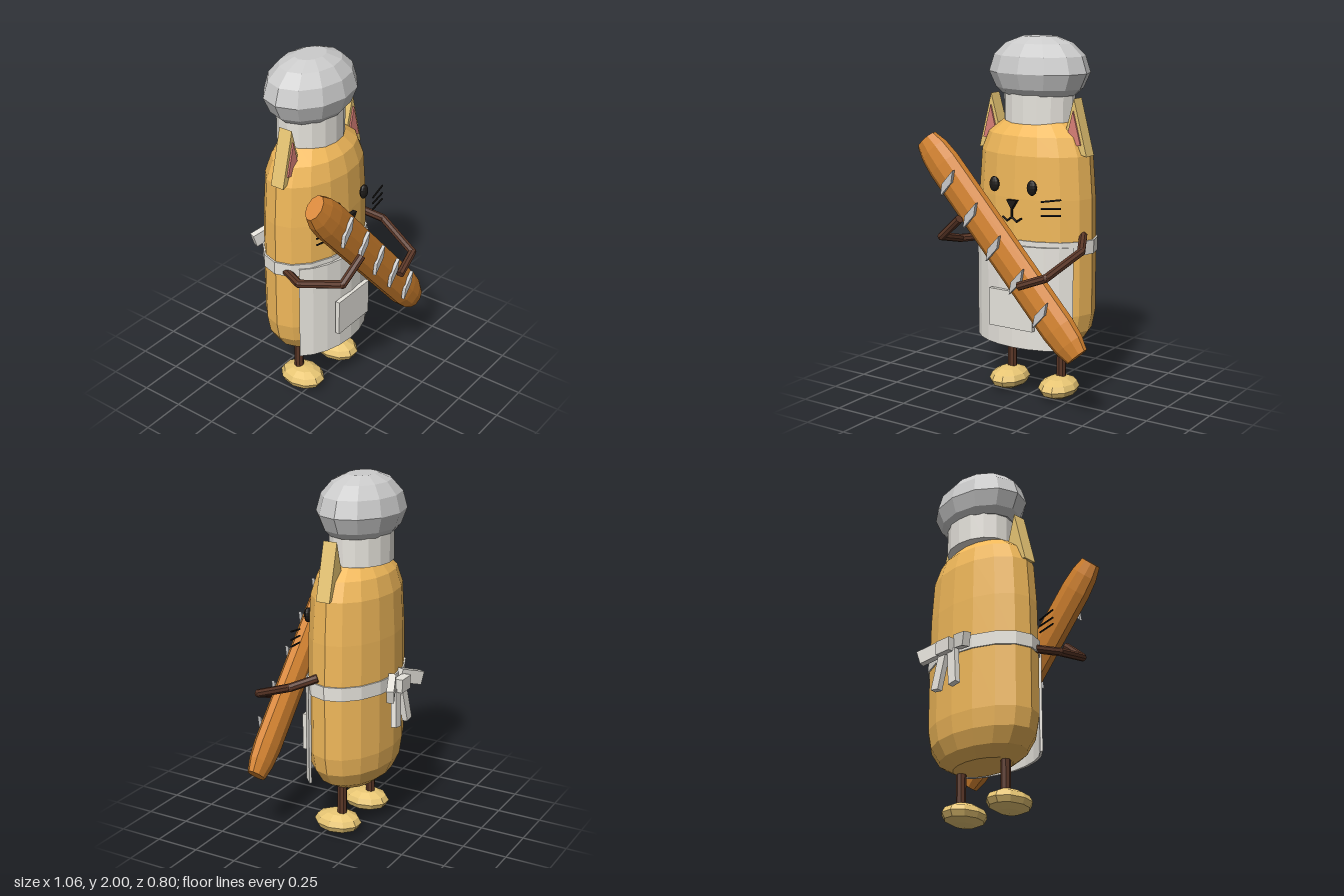
import * as THREE from 'three';

const mat = (color) => new THREE.MeshStandardMaterial({ color, flatShading: true });
const V = (x, y, z) => new THREE.Vector3(x, y, z);

export function createModel() {
  const root = new THREE.Group();
  const fur = mat(0xf0b85a), pale = mat(0xe8c674), pink = mat(0xd98078), bread = mat(0xd4832f);
  const limb = mat(0x5a3626), cloth = mat(0xe6e3dc), grey = mat(0xcccccc), black = mat(0x1c1a18);

  const add = (name, geometry, material, x = 0, y = 0, z = 0, parent = root) => {
    const mesh = new THREE.Mesh(geometry, material);
    mesh.name = name;
    mesh.position.set(x, y, z);
    parent.add(mesh);
    return mesh;
  };
  // Turned profile squashed in z to an oval section
  const oval = (points, sides, depth) =>
    new THREE.LatheGeometry(points.map(([r, y]) => new THREE.Vector2(r, y)), sides).scale(1, 1, depth);
  // Straight rod between two points
  const rod = (name, a, b, r, material, parent = root) => {
    const dir = b.clone().sub(a);
    const mesh = add(name, new THREE.CylinderGeometry(r, r, dir.length(), 8), material, 0, 0, 0, parent);
    mesh.position.copy(a).add(b).multiplyScalar(0.5);
    mesh.quaternion.setFromUnitVectors(V(0, 1, 0), dir.normalize());
  };
  // Chain of rods with a ball at each joint
  const limbChain = (name, pts, r, material) => {
    const group = new THREE.Group();
    group.name = name;
    root.add(group);
    for (let i = 0; i < pts.length - 1; i++) {
      rod(name + 'Segment', pts[i], pts[i + 1], r, material, group);
      if (i) add(name + 'Joint', new THREE.SphereGeometry(r, 8, 6), material, ...pts[i].toArray(), group);
    }
  };
  const plate = (pts, depth) => new THREE.ExtrudeGeometry(
    new THREE.Shape(pts.map(([x, y]) => new THREE.Vector2(x, y))), { depth, bevelEnabled: false });

  // Body
  add('body', oval([[0, 0.28], [0.19, 0.28], [0.28, 0.33], [0.335, 0.41], [0.355, 0.51], [0.355, 0.85],
    [0.35, 1.15], [0.333, 1.38], [0.29, 1.48], [0.2, 1.55], [0, 1.56]], 16, 0.645), fur, 0, 0, -0.085);

  // Tall hat: band and puffed crown
  add('hatBand', oval([[0, 1.54], [0.205, 1.54], [0.205, 1.72], [0, 1.72]], 16, 0.81), cloth, 0, 0, -0.11);
  add('hatPuff', oval([[0, 1.69], [0.215, 1.69], [0.255, 1.725], [0.295, 1.81], [0.265, 1.9],
    [0.195, 1.965], [0.1, 2], [0, 2]], 12, 0.755), grey, 0, 0, -0.11);

  for (const s of [1, -1]) {
    const side = s > 0 ? 'left' : 'right';
    const flip = (pts) => pts.map(([x, y]) => [s * x, y]);

    // Ears
    add(side + 'Ear', plate(flip([[0.19, 1.42], [0.345, 1.38], [0.265, 1.685]]), 0.08), pale, 0, 0, -0.11);
    add(side + 'InnerEar', plate(flip([[0.215, 1.43], [0.312, 1.44], [0.264, 1.62]]), 0.012), pink, 0, 0, -0.032);

    // Face
    add(side + 'Eye', new THREE.SphereGeometry(1, 12, 8).scale(0.03, 0.042, 0.02), black, s * 0.12, 1.22, 0.153);
    [[1.155, 1.175], [1.118, 1.128], [1.08, 1.09]].forEach(([y0, y1]) =>
      rod(side + 'Whisker', V(s * 0.187, y0, 0.167), V(s * 0.3, y1, 0.152), 0.005, black));
    limbChain(side + 'Mouth', [V(0, 1.052, 0.165), V(s * 0.03, 1.03, 0.165), V(s * 0.06, 1.05, 0.162)], 0.006, black);

    // Legs and feet
    rod(side + 'Leg', V(s * 0.165, 0.08, -0.083), V(s * 0.165, 0.34, -0.083), 0.027, limb);
    add(side + 'Foot', new THREE.SphereGeometry(1, 10, 6).scale(0.107, 0.062, 0.138), pale, s * 0.165, 0.062, -0.057);

    // Bow loops and tails
    add(side + 'BowLoop', new THREE.BoxGeometry(0.16, 0.075, 0.04), cloth, s * 0.11, 0.885, -0.352)
      .rotation.set(0, s * 0.4, s * -0.3);
    add(side + 'BowTail', new THREE.BoxGeometry(0.055, 0.21, 0.032), cloth, s * 0.05, 0.755, -0.35)
      .rotation.set(0.1, 0, s * 0.16);
  }
  add('nose', plate([[-0.032, 1.145], [0, 1.095], [0.032, 1.145]], 0.025), black, 0, 0, 0.147);
  rod('mouthStem', V(0, 1.1, 0.165), V(0, 1.05, 0.165), 0.006, black);
  add('bowKnot', new THREE.BoxGeometry(0.1, 0.075, 0.05), cloth, 0, 0.88, -0.362);

  // Waist belt
  add('apronBelt', oval([[0.34, 0.85], [0.364, 0.85], [0.364, 0.925], [0.34, 0.925], [0.34, 0.85]], 16, 0.65),
    cloth, 0, 0, -0.085);

  // Apron: curved panel wrapping the front 120 degrees
  const arc = (rx, rz) => Array.from({ length: 9 }, (_, i) => {
    const a = (i / 8 - 0.5) * Math.PI * 2 / 3;
    return [Math.sin(a) * rx, -Math.cos(a) * rz];
  });
  add('apronPanel', plate([...arc(0.36, 0.25), ...arc(0.345, 0.235).reverse()], 0.575).rotateX(-Math.PI / 2),
    cloth, 0, 0.322, -0.085);
  add('apronPocket', new THREE.BoxGeometry(0.28, 0.21, 0.025), cloth, 0, 0.54, 0.171);

  // Arms, reaching around the loaf
  limbChain('leftArm', [V(0.33, 0.955, -0.03), V(0.395, 0.9, 0.1), V(0.33, 0.8, 0.345), V(0.175, 0.74, 0.368)], 0.023, limb);
  limbChain('rightArm', [V(-0.33, 0.87, -0.03), V(-0.39, 0.875, 0.1), V(-0.335, 0.94, 0.345), V(-0.2, 1.055, 0.368)], 0.023, limb);

  // Long loaf held diagonally, with slashes along its front
  const loaf = new THREE.Group();
  loaf.name = 'loaf';
  loaf.position.set(0, 0.915, 0.275);
  root.add(loaf);
  add('loafBody', oval([[0, -0.715], [0.07, -0.715], [0.094, -0.64], [0.105, -0.54], [0.105, 0.54],
    [0.094, 0.64], [0.07, 0.715], [0, 0.715]], 10, 0.62), bread, 0, 0, 0, loaf).rotation.z = 0.736;
  for (let i = -2; i <= 2; i++) {
    add('loafSlash', plate([[0.042, 0.073], [0.03, 0.005], [-0.042, -0.073], [-0.03, -0.005]], 0.02),
      grey, i * 0.147, i * -0.16, 0.058, loaf);
  }
  return root;
}
